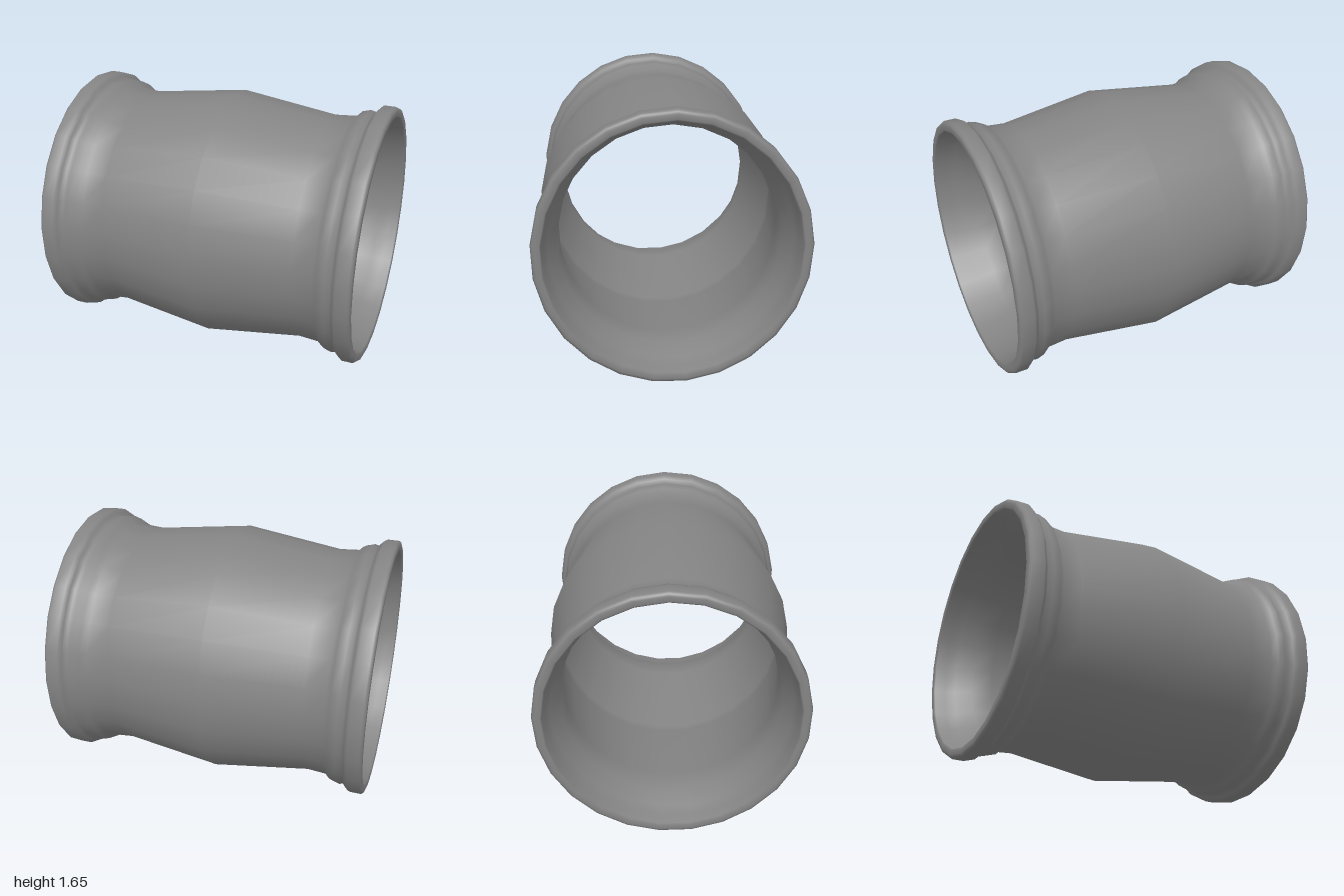
import * as THREE from 'three';

const SIDES = 25;
const CENTRE_Y = 0.823; // height of the sleeve's axis
const DEPTH = 0.976; // the sleeve is slightly oval
const START = Math.PI + THREE.MathUtils.degToRad(2.2);

// Half of the wall's section as [distance from the middle, radius],
// running along the outside, round the lip and back along the bore
const halfSection = [
  [0, 0.814], [0.615, 0.731], // waisted body
  [0.75, 0.741], [0.782, 0.774], [0.834, 0.789], [0.868, 0.779], // step and groove
  [0.888, 0.805], [0.91, 0.827], [0.982, 0.827], [0.995, 0.817], // end band
  [1, 0.803], [1, 0.774], [0.992, 0.764], // rounded lip
  [0.93, 0.754], [0.86, 0.734], [0.75, 0.688], [0.615, 0.675], // mouth of the bore
  [0.03, 0.757], [0, 0.757], // middle of the bore
];

export function createModel() {
  const model = new THREE.Group();
  model.name = 'pipeSleeve';

  // Mirror the half section into a closed loop and turn it about the x axis
  const mirrored = halfSection.slice(1).reverse().map(([x, r]) => [-x, r]);
  const section = [...mirrored, ...halfSection].map(([x, r]) => new THREE.Vector2(r, x));
  const geometry = new THREE.LatheGeometry(section, SIDES, START);
  geometry.rotateZ(-Math.PI / 2);
  geometry.scale(1, 1, DEPTH);

  const sleeve = new THREE.Mesh(geometry, new THREE.MeshStandardMaterial({ color: 0x848484 }));
  sleeve.name = 'sleeveWall';
  sleeve.position.y = CENTRE_Y;
  model.add(sleeve);
  return model;
}
